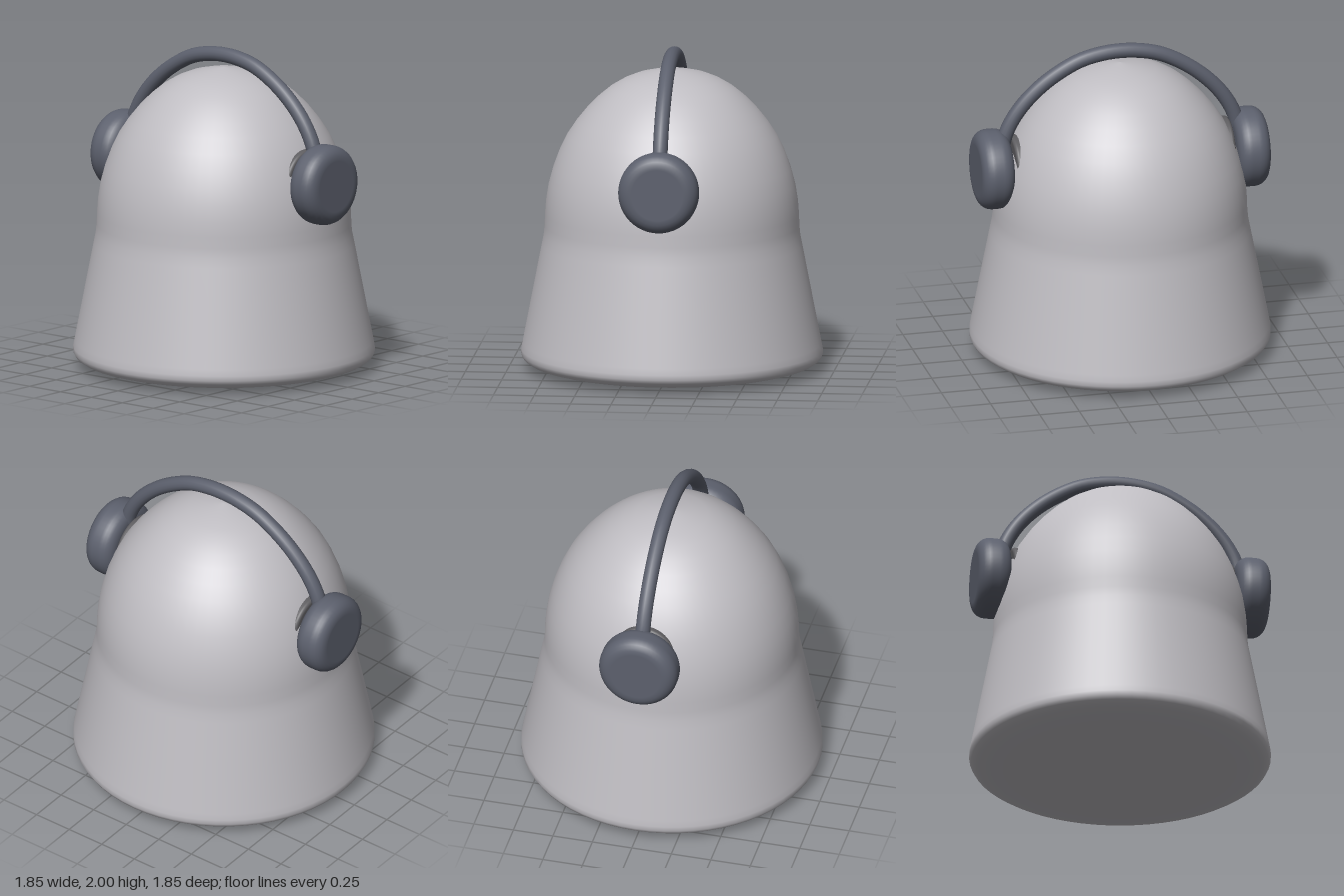
import * as THREE from 'three';

const lightGrey = new THREE.MeshStandardMaterial({ color: 0xbfbdc2 });
lightGrey.name = 'lightGrey';
const slate = new THREE.MeshStandardMaterial({ color: 0x5c606d });
slate.name = 'slate';
const darkGrey = new THREE.MeshStandardMaterial({ color: 0x5e5d60 });
darkGrey.name = 'darkGrey';

const points = (list) => list.map(([x, y]) => new THREE.Vector2(x, y));

function addMesh(parent, name, geometry, material) {
  const mesh = new THREE.Mesh(geometry, material);
  mesh.name = name;
  parent.add(mesh);
  return mesh;
}

// Round-edged disc lying along x, made by turning a rounded profile
function roundedDisc(radius, halfWidth, edge) {
  const profile = [[0, -halfWidth], [radius - edge - 0.01, -halfWidth]];
  for (const side of [-1, 1]) {
    for (let i = 0; i <= 6; i++) {
      const a = (i / 6) * Math.PI / 2;
      const t = side < 0 ? a : Math.PI / 2 - a;
      profile.push([radius - edge + edge * Math.sin(t), side * (halfWidth - edge + edge * Math.cos(t))]);
    }
  }
  profile.push([radius - edge - 0.01, halfWidth], [0, halfWidth]);
  return new THREE.LatheGeometry(points(profile), 48).rotateZ(-Math.PI / 2);
}

export function createModel() {
  const model = new THREE.Group();
  model.name = 'bellWithHeadphones';

  // Bell-shaped body: rounded foot, tapering skirt, dome with a faint peak
  const profile = [
    [0, 0.005], [0.4, 0.012], [0.7, 0.022], [0.82, 0.036], [0.88, 0.053], [0.913, 0.075],
    [0.926, 0.1], [0.926, 0.13], [0.918, 0.17], [0.86, 0.47], [0.8, 0.78], [0.788, 0.84],
    [0.782, 0.9], [0.78, 0.97], [0.773, 1.06], [0.757, 1.16], [0.73, 1.26], [0.693, 1.36],
    [0.645, 1.46], [0.585, 1.55], [0.52, 1.63], [0.45, 1.7], [0.38, 1.757], [0.3, 1.805],
    [0.22, 1.838], [0.13, 1.86], [0.06, 1.872], [0, 1.88],
  ];
  addMesh(model, 'body', new THREE.LatheGeometry(points(profile), 64), lightGrey);

  const headphones = new THREE.Group();
  headphones.name = 'headphones';
  model.add(headphones);

  // Headband arching over the dome
  const half = [[0.745, 1.39], [0.715, 1.49], [0.655, 1.6], [0.56, 1.712], [0.43, 1.818], [0.26, 1.91], [0.12, 1.945]];
  const arc = [...half.map(([x, y]) => [-x, y]), [0, 1.954], ...half.slice().reverse()];
  const curve = new THREE.CatmullRomCurve3(arc.map(([x, y]) => new THREE.Vector3(x, y, 0)));
  addMesh(headphones, 'headband', new THREE.TubeGeometry(curve, 48, 0.046, 16), slate);

  // Ear cups with inner cushions and rounded band ends
  for (const side of [-1, 1]) {
    const label = side > 0 ? 'left' : 'right';
    addMesh(headphones, label + 'EarCup', roundedDisc(0.248, 0.102, 0.08), slate)
      .position.set(side * 0.808, 1.25, 0);
    addMesh(headphones, label + 'EarCushion', roundedDisc(0.2, 0.045, 0.02), darkGrey)
      .position.set(side * 0.645, 1.25, 0);
    addMesh(headphones, label + 'BandEnd', new THREE.SphereGeometry(0.046, 16, 12), slate)
      .position.set(side * 0.745, 1.39, 0);
  }
  return model;
}
